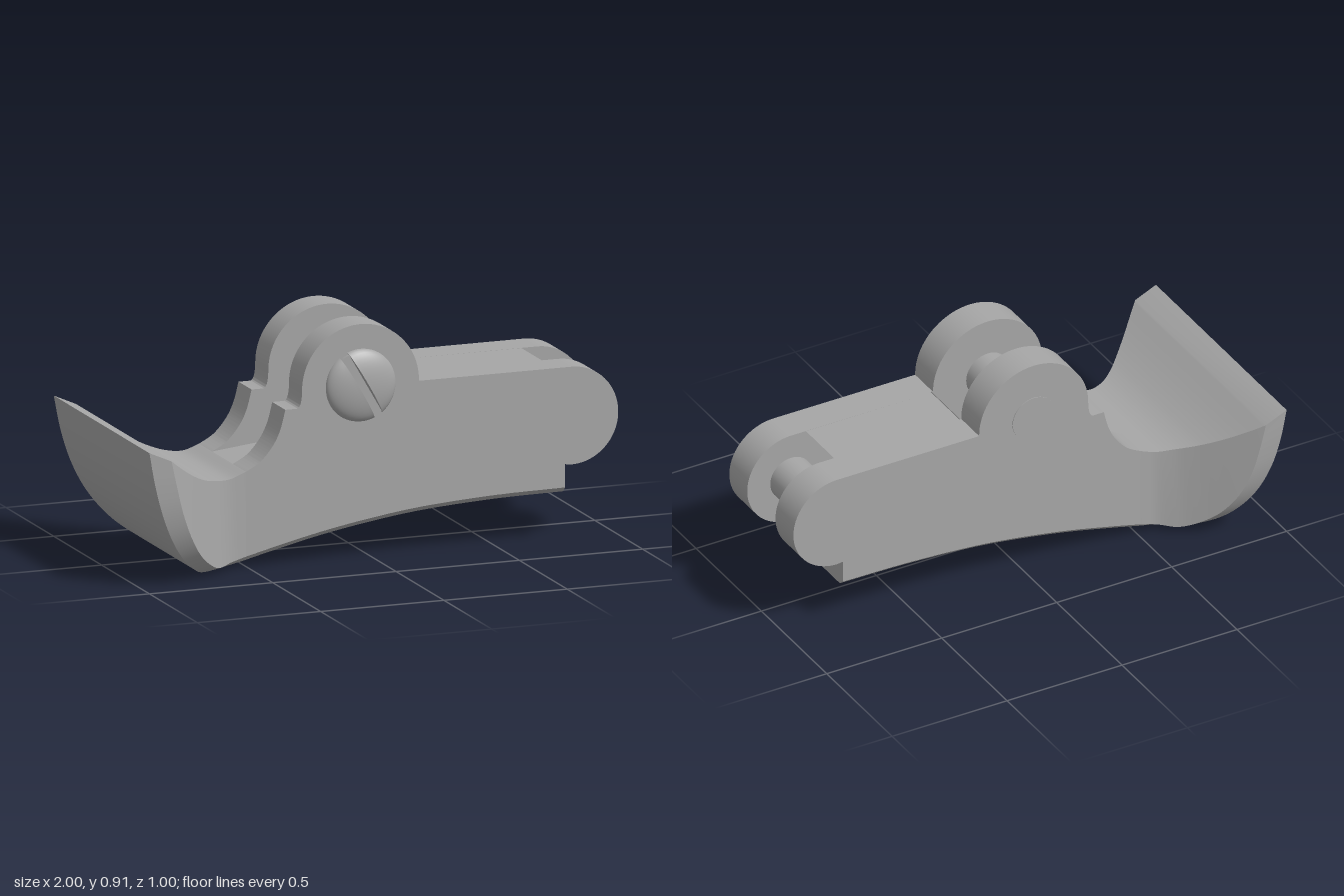
import * as THREE from 'three';
import { toCreasedNormals } from 'three/addons/utils/BufferGeometryUtils.js';

const grey = new THREE.MeshStandardMaterial({ color: 0xa6a6a6 });
grey.name = 'grey';
const PIVOT = [-0.045, 0.675], END = [0.81, 0.482];
const CHEEK = 0.245, SLOT = 0.108;

function add(group, name, geometry, x = 0, y = 0, z = 0) {
  const mesh = new THREE.Mesh(geometry, grey);
  mesh.name = name;
  mesh.position.set(x, y, z);
  group.add(mesh);
  return mesh;
}

const spline = (pts) => new THREE.CatmullRomCurve3(pts.map((p) => new THREE.Vector3(...p)), false, 'centripetal');

// Six-sided loft: outer, middle and top rails of [x, y, half width], mirrored in z
function loft(outer, middle, top, steps) {
  const rails = [outer, middle, top].map(spline);
  const pos = [], idx = [];
  for (let i = 0; i <= steps; i++) {
    const [o, m, t] = rails.map((r) => r.getPoint(i / steps));
    for (const [p, s] of [[o, -1], [o, 1], [m, 1], [t, 1], [t, -1], [m, -1]]) pos.push(p.x, p.y, p.z * s);
  }
  for (let i = 0; i < steps; i++) {
    for (let j = 0; j < 6; j++) {
      const a = i * 6 + j, b = i * 6 + (j + 1) % 6;
      idx.push(a, a + 6, b, b, a + 6, b + 6);
    }
  }
  const e = steps * 6;
  for (let j = 1; j < 5; j++) idx.push(0, j, j + 1, e, e + j + 1, e + j);
  const g = new THREE.BufferGeometry();
  g.setAttribute('position', new THREE.Float32BufferAttribute(pos, 3));
  g.setIndex(idx);
  return toCreasedNormals(g, 0.5);
}

function slab(shape, z0, z1) {
  const g = new THREE.ExtrudeGeometry(shape, { depth: z1 - z0, bevelEnabled: false, curveSegments: 24 });
  g.translate(0, 0, z0);
  return toCreasedNormals(g, 0.5);
}

// Underside curve of the arm
const SOLE = [[-0.51, 0.028], [-0.4, 0.055], [-0.2, 0.1], [0, 0.135], [0.2, 0.161], [0.5, 0.18], [0.785, 0.185]];

function startShape() {
  const s = new THREE.Shape();
  s.moveTo(-0.51, 0.048);
  s.splineThru(SOLE.slice(1).map(([x, y]) => new THREE.Vector2(x, y + 0.02)));
  s.lineTo(0.785, 0.295);
  return s;
}

function cheekShape() {
  const s = startShape();
  s.lineTo(END[0], 0.292);
  s.absarc(...END, 0.19, -Math.PI / 2, Math.PI / 2, false);
  s.lineTo(0.192, 0.671);
  s.absarc(...PIVOT, 0.237, 0, Math.PI, false);
  s.quadraticCurveTo(-0.283, 0.605, -0.305, 0.605);
  s.lineTo(-0.35, 0.605);
  s.splineThru([[-0.37, 0.53], [-0.4, 0.47], [-0.45, 0.413], [-0.51, 0.378]].map((p) => new THREE.Vector2(...p)));
  s.closePath();
  return s;
}

// Middle web with round clearances for both hinge slots
function webShape() {
  const s = startShape();
  const low = Math.PI + Math.asin(0.187 / 0.2), high = Math.PI - Math.asin(0.189 / 0.2);
  s.absarc(...END, 0.2, low, high, true);
  s.lineTo(0.2, 0.671);
  s.absarc(...PIVOT, 0.245, 0, -1.46, true);
  s.lineTo(-0.51, 0.378);
  s.closePath();
  return s;
}

function pin(radius, z0, z1) {
  const g = new THREE.CylinderGeometry(radius, radius, z1 - z0, 40);
  g.rotateX(Math.PI / 2);
  g.translate(0, 0, (z0 + z1) / 2);
  return g;
}

// Domed screw head split by a slot
function screwHead() {
  const head = new THREE.Group();
  head.name = 'screwHead';
  const R = 0.141, w = 0.018, H = 0.046;
  const dome = (x, y) => H * Math.sqrt(Math.max(0, 1 - (x * x + y * y) / (R * R)));
  add(head, 'slotFloor', pin(R - 0.008, 0, 0.012));
  for (const turn of [0, Math.PI]) {
    const cap = new THREE.PlaneGeometry(1, 1, 14, 20);
    const wall = new THREE.PlaneGeometry(1, 1, 1, 20);
    for (const [g, isCap] of [[cap, true], [wall, false]]) {
      const p = g.attributes.position;
      for (let i = 0; i < p.count; i++) {
        const u = p.getX(i) + 0.5, v = p.getY(i) * 2;
        const x = isCap ? w + (R - w) * Math.sin(u * Math.PI / 2) : w;
        const y = Math.sin(v * Math.PI / 2) * Math.sqrt(Math.max(0, R * R - x * x));
        p.setXYZ(i, x, y, isCap ? dome(x, y) : u * dome(x, y));
      }
      if (!isCap) g.index.array.reverse();
      g.computeVertexNormals();
      // the slot wall must face the slot
      if (!isCap && g.attributes.normal.getX(10) > 0) {
        g.index.array.reverse();
        g.computeVertexNormals();
      }
      add(head, isCap ? 'domeHalf' : 'slotWall', g).rotation.z = turn;
    }
  }
  head.position.set(...PIVOT, CHEEK);
  head.rotation.z = Math.PI / 6;
  return head;
}

export function createModel() {
  const model = new THREE.Group();
  model.name = 'leverArm';

  // Flared, upturned thumb end
  add(model, 'flaredEnd', loft(
    [[-1, 0.55, 0.5], [-0.975, 0.42, 0.496], [-0.94, 0.3, 0.484], [-0.89, 0.19, 0.455], [-0.825, 0.1, 0.405],
      [-0.755, 0.04, 0.34], [-0.68, 0.004, 0.25], [-0.59, 0.012, 0.225], [-0.51, 0.028, 0.222]],
    [[-0.91, 0.51, 0.5], [-0.887, 0.41, 0.496], [-0.857, 0.3, 0.485], [-0.815, 0.2, 0.46], [-0.76, 0.115, 0.415],
      [-0.7, 0.06, 0.36], [-0.64, 0.028, 0.305], [-0.575, 0.033, 0.256], [-0.51, 0.048, CHEEK]],
    [[-0.91, 0.51, 0.5], [-0.88, 0.487, 0.474], [-0.845, 0.461, 0.442], [-0.8, 0.43, 0.401], [-0.75, 0.4, 0.356],
      [-0.7, 0.376, 0.313], [-0.64, 0.359, 0.272], [-0.575, 0.356, 0.25], [-0.51, 0.378, CHEEK]], 32));

  // Chamfered underside
  const edge = SOLE.map(([x, y]) => [x, y + 0.02, CHEEK]);
  add(model, 'sole', loft(SOLE.map(([x, y]) => [x, y, 0.222]), edge, edge, 24));

  // Arm body: two cheeks with hinge ears and the web between them
  const cheek = cheekShape();
  add(model, 'leftCheek', slab(cheek, SLOT, CHEEK));
  add(model, 'rightCheek', slab(cheek, -CHEEK, -SLOT));
  add(model, 'web', slab(webShape(), -SLOT, SLOT));

  // Hinge pins and screw
  add(model, 'hingePin', pin(0.093, -CHEEK - 0.003, 0.2), ...PIVOT);
  add(model, 'endPin', pin(0.09, -0.15, 0.15), ...END);
  model.add(screwHead());
  return model;
}
